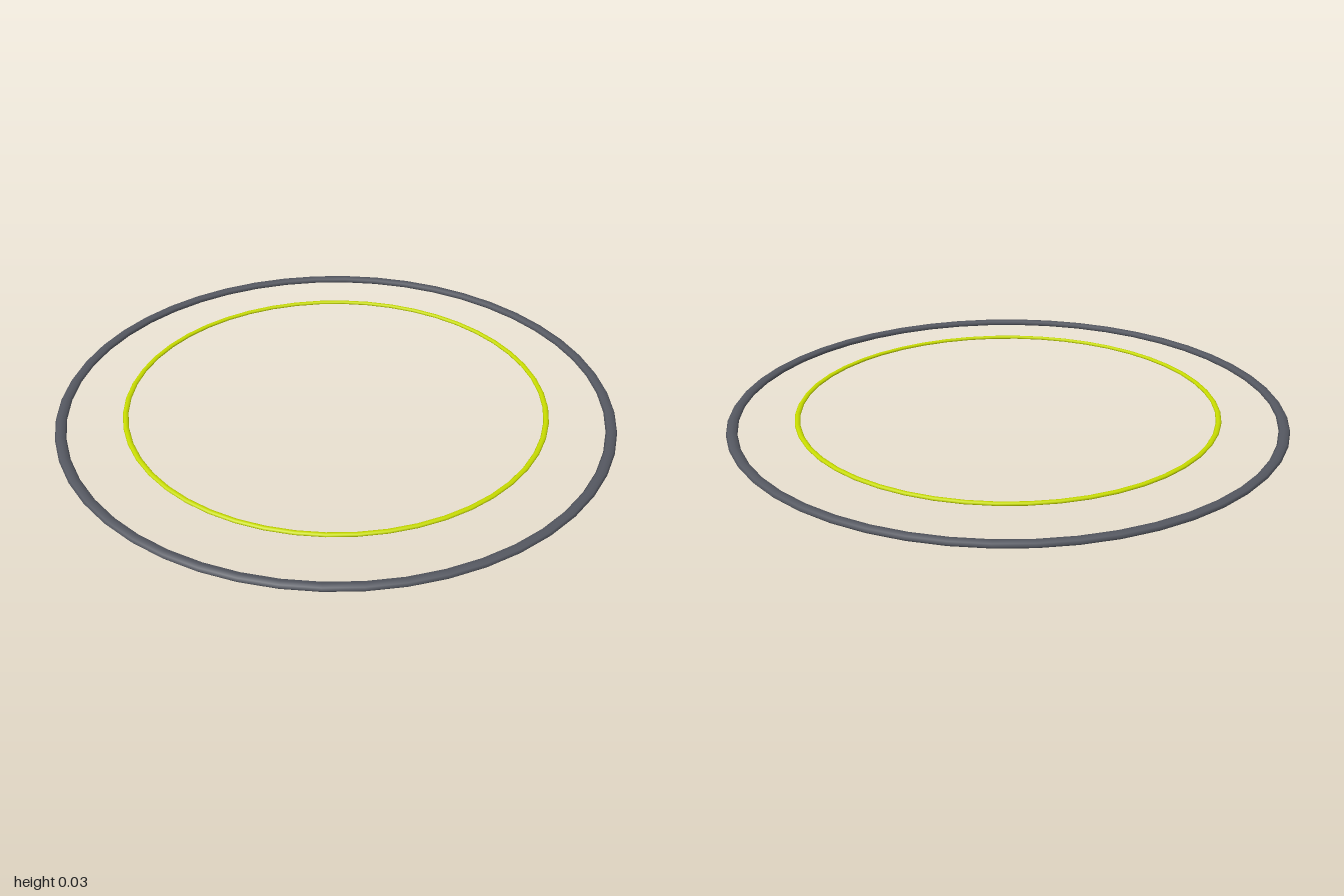
import * as THREE from 'three';

// Flat-lying ring with a squashed round section
function ring(name, radius, tube, halfHeight, y, color) {
  const geometry = new THREE.TorusGeometry(radius, tube, 8, 48);
  geometry.rotateX(-Math.PI / 2);
  geometry.scale(1, halfHeight / tube, 1);
  const mesh = new THREE.Mesh(geometry, new THREE.MeshStandardMaterial({ color }));
  mesh.name = name;
  mesh.position.y = y;
  return mesh;
}

export function createModel() {
  const model = new THREE.Group();
  model.name = 'concentricRings';
  // Heavy grey outer ring resting on the ground
  model.add(ring('outerRing', 0.98, 0.02, 0.011, 0.011, 0x555861));
  // Thin yellow inner ring, slightly raised
  model.add(ring('innerRing', 0.752, 0.01, 0.006, 0.025, 0xc8dc00));
  return model;
}
